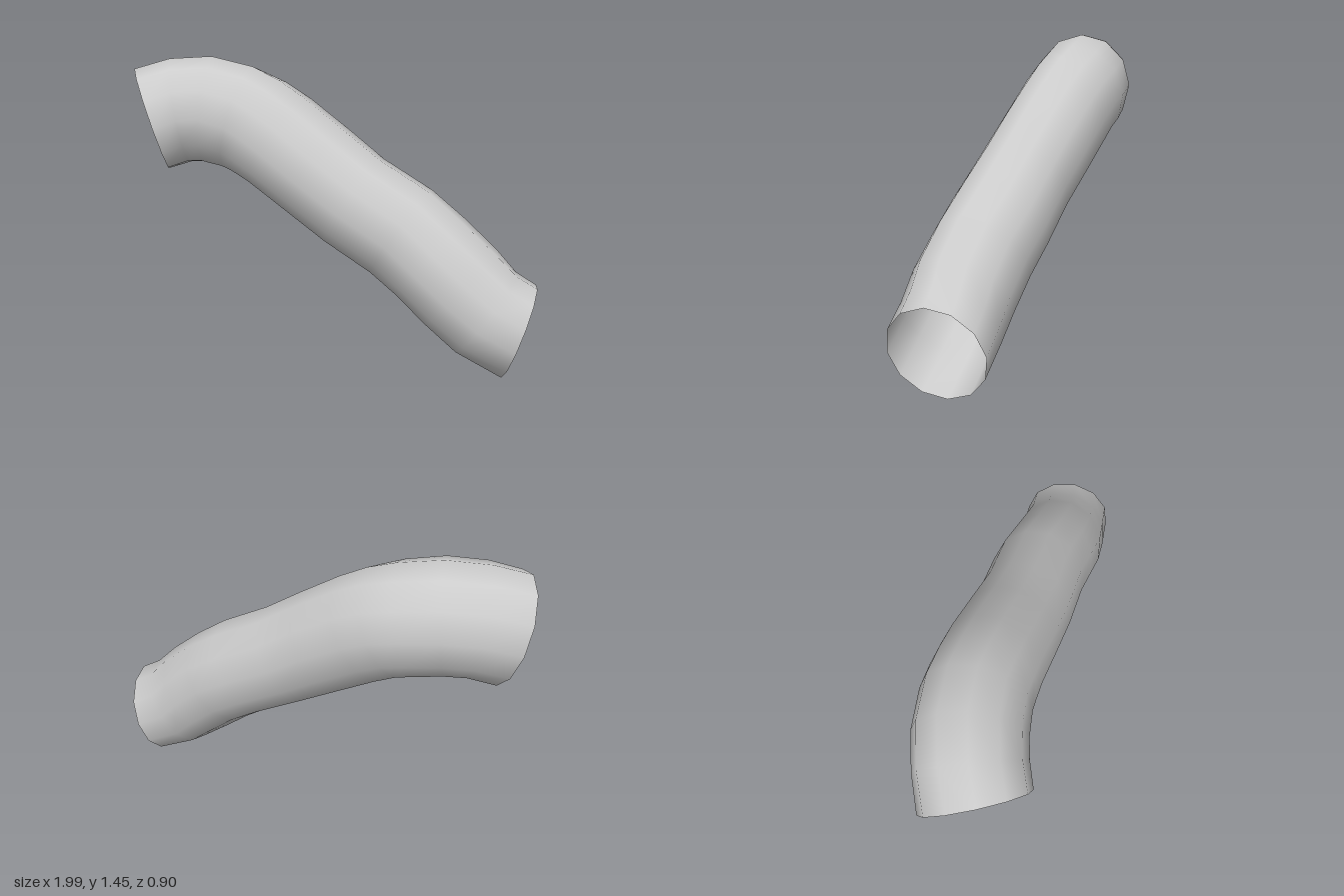
import * as THREE from 'three';

const SIDES = 12;

// Cross-sections along the tube: centre x, y, z and vertical radius
const RINGS = [
  [-0.90, 1.14, -0.17, 0.264],
  [-0.76, 1.18, -0.195, 0.264],
  [-0.62, 1.186, -0.205, 0.267],
  [-0.46, 1.153, -0.19, 0.265],
  [-0.365, 1.115, -0.165, 0.262],
  [-0.26, 1.055, -0.135, 0.26],
  [-0.07, 0.925, -0.068, 0.256],
  [0.12, 0.793, 0.0, 0.25],
  [0.35, 0.66, 0.06, 0.252],
  [0.50, 0.545, 0.115, 0.25],
  [0.64, 0.42, 0.165, 0.25],
  [0.76, 0.31, 0.195, 0.242],
  [0.917, 0.228, 0.221, 0.238],
];
const SIDE_RATIO = 0.94; // slightly narrower sideways than tall
const START_DIR = new THREE.Vector3(0.93, 0.28, -0.24).normalize();
const END_DIR = new THREE.Vector3(0.94, -0.31, 0.13).normalize();

function tubeGeometry() {
  const centres = RINGS.map(([x, y, z]) => new THREE.Vector3(x, y, z));
  const last = centres.length - 1;
  const worldUp = new THREE.Vector3(0, 1, 0);
  const positions = [];
  const indices = [];

  centres.forEach((centre, i) => {
    // Frame of the ring: travel direction, sideways and up
    const dir = i === 0 ? START_DIR
      : i === last ? END_DIR
      : centres[i + 1].clone().sub(centres[i - 1]).normalize();
    const side = dir.clone().cross(worldUp).normalize();
    const up = side.clone().cross(dir);
    const r = RINGS[i][3];
    const twist = 0.08 * i / last;

    for (let j = 0; j < SIDES; j++) {
      const a = (j / SIDES) * Math.PI * 2 + twist;
      const p = centre.clone()
        .addScaledVector(side, Math.sin(a) * r * SIDE_RATIO)
        .addScaledVector(up, Math.cos(a) * r);
      positions.push(p.x, p.y, p.z);

      // Quad to the next ring, wrapping round the seam
      if (i < last) {
        const k = (j + 1) % SIDES;
        const p0 = i * SIDES + j, p1 = i * SIDES + k;
        indices.push(p0, p1, p0 + SIDES, p1, p1 + SIDES, p0 + SIDES);
      }
    }
  });

  const geometry = new THREE.BufferGeometry();
  geometry.setAttribute('position', new THREE.Float32BufferAttribute(positions, 3));
  geometry.setIndex(indices);
  geometry.computeVertexNormals();
  return geometry;
}

export function createModel() {
  const group = new THREE.Group();
  group.name = 'bentTube';

  // Thin open-ended shell, visible inside and out
  const material = new THREE.MeshStandardMaterial({ color: 0xcccccc, side: THREE.DoubleSide });
  const tube = new THREE.Mesh(tubeGeometry(), material);
  tube.name = 'tubeShell';
  group.add(tube);
  return group;
}
